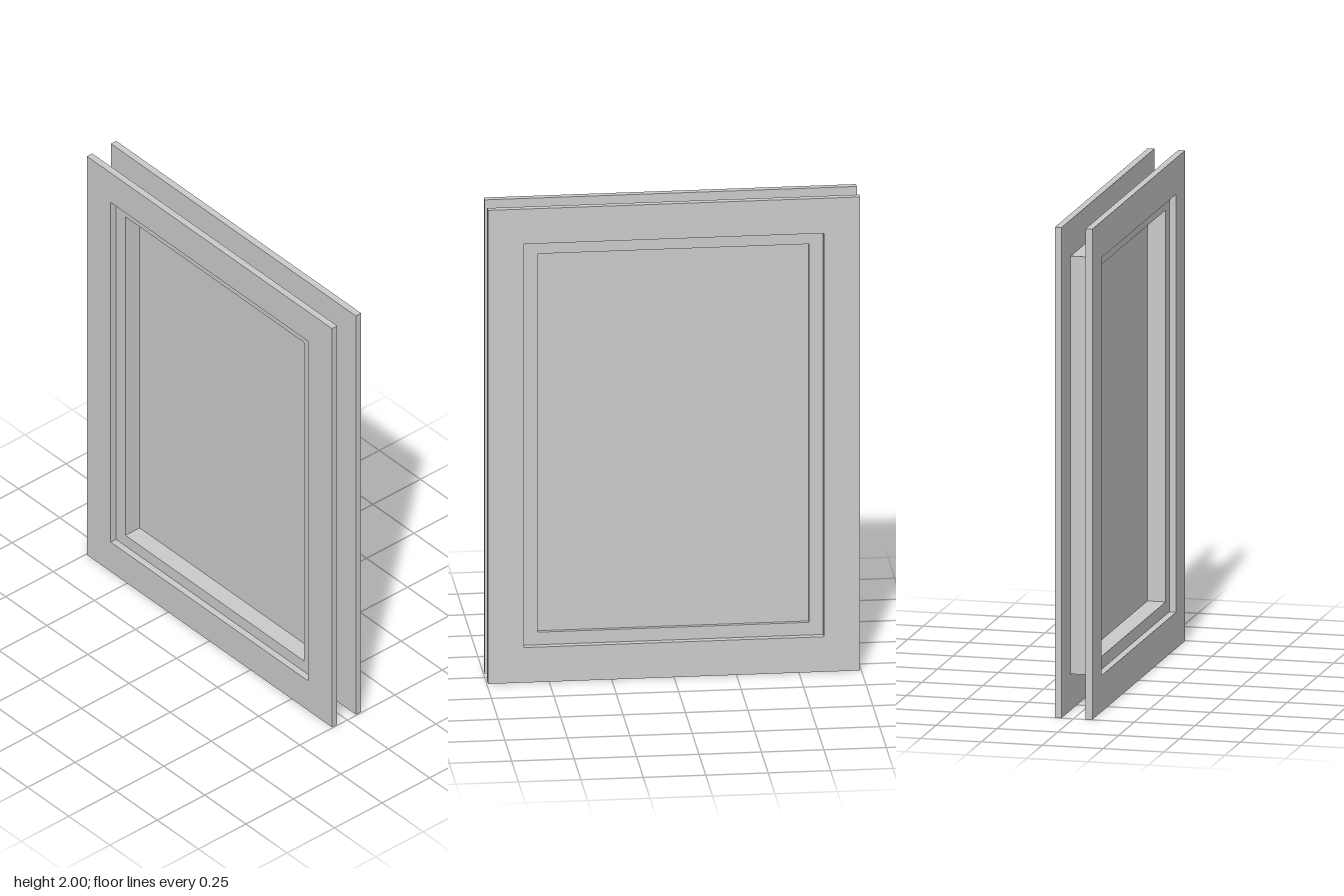
import * as THREE from 'three';

const material = new THREE.MeshStandardMaterial({ color: 0xcccccc, flatShading: true });
const CENTER_Y = 1;

// Rectangular ring in the z/y plane, extruded along x from x0 to x1
function ring(name, width, height, holeWidth, holeHeight, x0, x1) {
  const rect = (Type, w, h) => new Type([
    [-w / 2, -h / 2], [w / 2, -h / 2], [w / 2, h / 2], [-w / 2, h / 2],
  ].map(([a, b]) => new THREE.Vector2(a, b)));
  const shape = rect(THREE.Shape, width, height);
  shape.holes.push(rect(THREE.Path, holeWidth, holeHeight));
  const geometry = new THREE.ExtrudeGeometry(shape, { depth: x1 - x0, bevelEnabled: false });
  geometry.rotateY(Math.PI / 2);
  geometry.translate(x0, CENTER_Y, 0);
  const mesh = new THREE.Mesh(geometry, material);
  mesh.name = name;
  return mesh;
}

export function createModel() {
  const group = new THREE.Group();
  group.name = 'window';

  const half = 0.077;     // half of the whole thickness
  const inner = 0.049;    // half of the gap between the trims
  const opening = [1.2, 1.704];
  const glass = [1.086, 1.598];

  // Flat trims on both sides of the wall
  group.add(ring('leftTrim', 1.49, 2, ...opening, inner, half));
  group.add(ring('rightTrim', 1.49, 2, ...opening, -half, -inner));

  // Sash between the trims
  group.add(ring('sash', ...opening, ...glass, -inner, inner));

  // Thin pane set close to the left face, tucked slightly into the sash
  const pane = new THREE.Mesh(new THREE.BoxGeometry(0.006, glass[1] + 0.01, glass[0] + 0.01), material);
  pane.name = 'pane';
  pane.position.set(0.029, CENTER_Y, 0);
  group.add(pane);

  return group;
}
